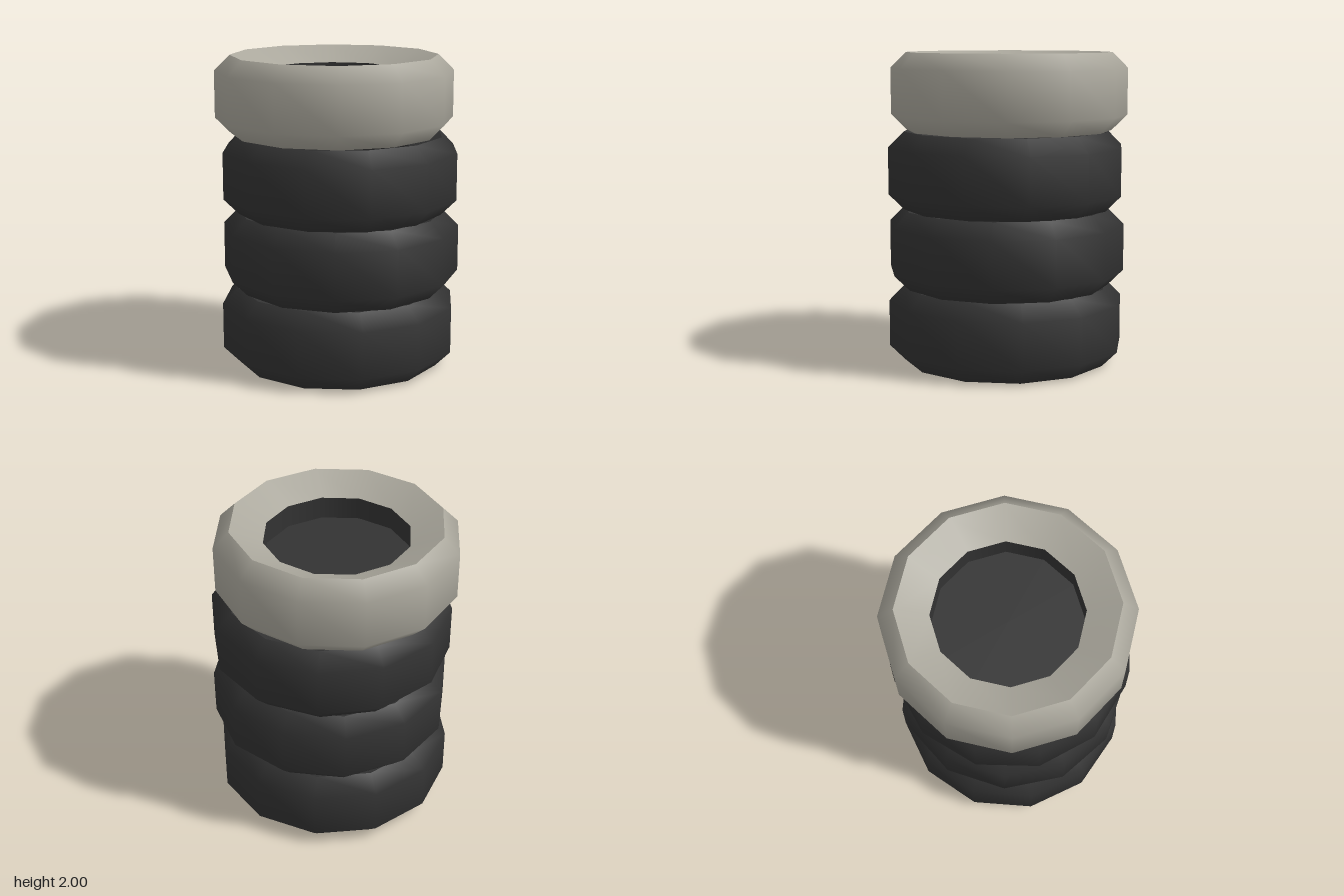
import * as THREE from 'three';

const SIDES = 12;
const HOLE = 0.46, RIM = 0.665, TREAD = 0.765;

// Surface of revolution from [radius, height] pairs
function ring(name, material, points) {
  const profile = points.map(([r, y]) => new THREE.Vector2(r, y));
  const mesh = new THREE.Mesh(new THREE.LatheGeometry(profile, SIDES), material);
  mesh.name = name;
  return mesh;
}

function createTire(name, rubber, hub) {
  const tire = new THREE.Group();
  tire.name = name;
  tire.add(
    // Tread with bevelled shoulders, and dished side walls with a sharp rim
    ring('tread', rubber, [[RIM, 0], [TREAD, 0.1], [TREAD, 0.4], [RIM, 0.5]]),
    ring('upperSideWall', rubber, [[RIM, 0.5], [HOLE, 0.4]]),
    ring('lowerSideWall', rubber, [[HOLE, 0.1], [RIM, 0]]),
    // Recessed hub, closed at mid height
    ring('upperHubWall', hub, [[HOLE, 0.4], [HOLE, 0.255]]),
    ring('upperHubDisc', hub, [[HOLE, 0.255], [0, 0.255]]),
    ring('lowerHubDisc', hub, [[0, 0.245], [HOLE, 0.245]]),
    ring('lowerHubWall', hub, [[HOLE, 0.245], [HOLE, 0.1]])
  );
  return tire;
}

export function createModel() {
  const black = new THREE.MeshStandardMaterial({ color: 0x333333 });
  black.name = 'blackRubber';
  const grey = new THREE.MeshStandardMaterial({ color: 0xaba89d });
  grey.name = 'paleGreyRubber';

  const model = new THREE.Group();
  model.name = 'tireStack';

  // Loosely stacked: x, z offset and turn in degrees, from the bottom up
  const stack = [
    ['bottomTire', 0.01, 0, 2, black],
    ['secondTire', 0.02, -0.01, -12, black],
    ['thirdTire', 0.015, -0.01, 5, black],
    ['topTire', -0.02, 0.01, -6.8, grey],
  ];
  stack.forEach(([name, x, z, turn, rubber], i) => {
    const tire = createTire(name, rubber, black);
    tire.position.set(x, i * 0.5, z);
    tire.rotation.y = THREE.MathUtils.degToRad(turn);
    model.add(tire);
  });
  return model;
}
